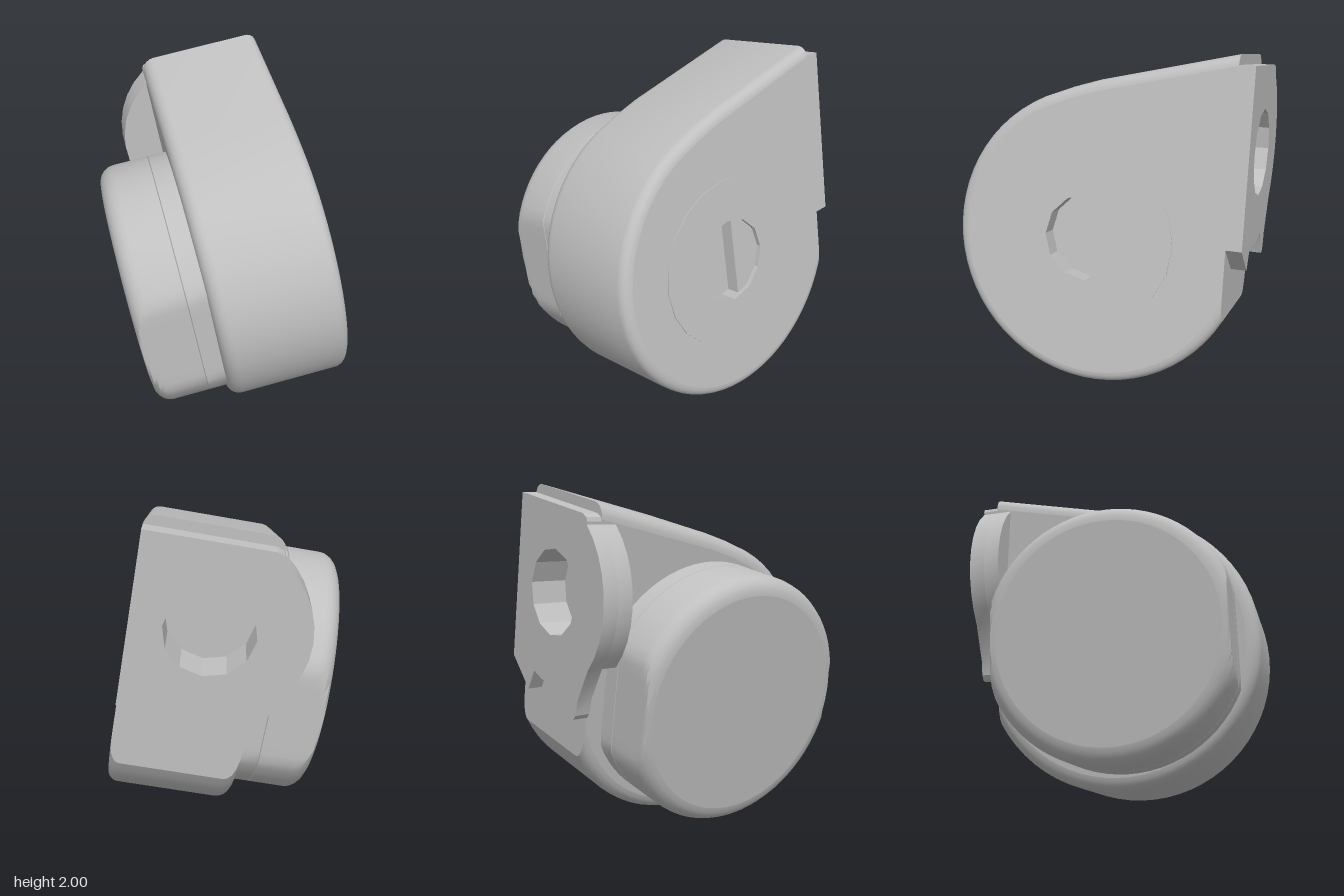
import * as THREE from 'three';
import { toCreasedNormals } from 'three/addons/utils/BufferGeometryUtils.js';

const V2 = (x, y) => new THREE.Vector2(x, y);
const rad = THREE.MathUtils.degToRad;

export function createModel() {
  const grey = new THREE.MeshStandardMaterial({ color: 0xc0c0c0 });
  grey.name = 'grey casting';
  const model = new THREE.Group();
  model.name = 'tiltedHousing';

  const add = (name, geometry, crease = 0.6) => {
    const mesh = new THREE.Mesh(toCreasedNormals(geometry, crease), grey);
    mesh.name = name;
    model.add(mesh);
  };

  // Points along an arc, angles in degrees
  const arc = (cx, cy, r, from, to, n) => Array.from({ length: n + 1 }, (_, i) => {
    const t = rad(from + (to - from) * i / n);
    return V2(cx + r * Math.cos(t), cy + r * Math.sin(t));
  });
  const withHole = (shape, cx, cy, r) => {
    shape.holes.push(new THREE.Path(arc(cx, cy, r, 0, 360, 12)));
    return shape;
  };

  // Skin through cross-sections: rows of (z, y) points, each at its own x
  const loft = (rows) => {
    const pos = [], idx = [], n = rows[0].pts.length;
    rows.forEach(({ x, pts }) => pts.forEach((p) => pos.push(x, p.y, p.x)));
    for (let i = 0; i < rows.length - 1; i++) {
      for (let j = 0; j < n - 1; j++) {
        const a = i * n + j, b = a + n;
        idx.push(a, b, b + 1, a, b + 1, a + 1);
      }
    }
    const g = new THREE.BufferGeometry();
    g.setAttribute('position', new THREE.Float32BufferAttribute(pos, 3));
    g.setIndex(idx);
    return g;
  };
  // Flat face of (z, y) points looking to -x
  const minusXFace = (pts, x) =>
    new THREE.ShapeGeometry(new THREE.Shape(pts)).rotateY(-Math.PI / 2).translate(x, 0, 0);
  const mirrored = (pts) => pts.map((p) => V2(-p.x, p.y));

  // Blind hole, open towards +y
  const cup = (r, depth) =>
    new THREE.LatheGeometry([V2(r, 0), V2(r, -depth), V2(0, -depth)], 12);

  const left = -0.02, right = 0.717, back = -0.75;
  const axisY = 0.838, axisZ = 0.045;
  const eye = { x: 0.29, y: 1.36, r: 0.54, hole: 0.25 };

  // Teardrop outline, shrunk by d, cut square at the back
  const outline = (d) => {
    const r = 0.85 - d, start = -THREE.MathUtils.radToDeg(Math.acos(back / r));
    return [...arc(0, 0.84, r, start, 66, 40),
      V2(0.18, 1.68 - d * 1.05), V2(0.02, 1.73 - d * 1.03), V2(back, 1.912 - d * 1.03)];
  };
  const bodyRows = [];
  for (let i = 0; i <= 5; i++) {
    const t = Math.PI / 2 * i / 5;
    bodyRows.push({ x: left + 0.08 * (1 - Math.cos(t)), pts: outline(0.08 * (1 - Math.sin(t))) });
  }
  for (let i = 0; i <= 5; i++) {
    const t = Math.PI / 2 * i / 5;
    bodyRows.push({ x: right - 0.06 * (1 - Math.sin(t)), pts: outline(0.06 * (1 - Math.cos(t))) });
  }
  add('bodyRim', loft(bodyRows));
  add('bodyLeftFace', minusXFace(bodyRows[0].pts, left));
  const rightShape = new THREE.Shape(mirrored(bodyRows.at(-1).pts));
  add('bodyRightFace', new THREE.ShapeGeometry(withHole(rightShape, -axisZ, axisY, 0.25))
    .rotateY(Math.PI / 2).translate(right, 0, 0));

  // Flat back of the body, joined to the ends of every section
  const ends = (k) => bodyRows.map(({ x, pts }) => V2(-x, pts.at(k).y));
  const backShape = new THREE.Shape([...ends(0), ...ends(-1).reverse()]);
  add('bodyBack', new THREE.ShapeGeometry(withHole(backShape, -eye.x, eye.y, eye.hole))
    .rotateY(Math.PI).translate(0, 0, back));

  // Slightly raised ring and stepped socket on the side
  const ring = withHole(new THREE.Shape(arc(-axisZ, axisY, 0.5, 0, 360, 20)), -axisZ, axisY, 0.25);
  add('sideRing', new THREE.ExtrudeGeometry(ring, { depth: 0.006, bevelEnabled: false })
    .rotateY(Math.PI / 2).translate(right, 0, 0));
  add('sideSocket', cup(0.25, 0.11).rotateZ(-Math.PI / 2).translate(right + 0.006, axisY, axisZ), 0.2);
  const step = new THREE.Shape(arc(-axisZ, axisY, 0.25, -78, 78, 8));
  add('socketStep', new THREE.ExtrudeGeometry(step, { depth: 0.08, bevelEnabled: false })
    .rotateY(Math.PI / 2).translate(right - 0.1, 0, 0));

  // Mounting plate with a round eye and two small teeth
  const plate = new THREE.Shape([
    V2(right, 1.855), V2(0.03, 1.855), V2(-0.01, 1.84), V2(left, 1.82),
    ...arc(eye.x, eye.y, eye.r, 125, 217, 9),
    V2(-0.06, 0.83), V2(-0.05, 0.74), V2(-0.03, 0.71), V2(0.01, 0.71), V2(0.06, 0.8),
    ...arc(eye.x, eye.y, eye.r, 250, 287, 4),
    V2(0.506, 0.71), V2(right, 0.86),
  ]);
  add('mountingPlate', new THREE.ExtrudeGeometry(withHole(plate, eye.x, eye.y, eye.hole),
    { depth: 0.09, bevelEnabled: false }).translate(0, 0, -0.84), 0.3);
  const lobe = new THREE.Shape(arc(eye.x, eye.y, eye.r, 125, 217, 9));
  add('plateLobe', new THREE.ExtrudeGeometry(lobe, { depth: 0.09, bevelEnabled: false })
    .translate(0, 0, back), 0.3);
  add('plateSocket', cup(eye.hole, 0.22).rotateX(-Math.PI / 2).translate(eye.x, eye.y, -0.84), 0.2);

  // Round cap with a flat at the front and back, rounded towards its outer face
  const capSection = (d, flat = 0.68) => arc(0, 0, 0.745 - d, 0, 360, 72).map((p) =>
    V2(0.04 + THREE.MathUtils.clamp(p.x, -flat, flat), 0.832 + p.y));
  const capRows = [];
  for (let i = 0; i <= 5; i++) {
    const t = Math.PI / 2 * i / 5;
    capRows.push({ x: -0.45 + 0.1 * (1 - Math.cos(t)), pts: capSection(0.1 * (1 - Math.sin(t))) });
  }
  capRows.push({ x: -0.136, pts: capSection(0) }, { x: -0.133, pts: capSection(0.006, 0.674) });
  add('cap', loft(capRows), 0.5);
  add('capFace', minusXFace(capRows[0].pts, -0.45));
  add('capCollar', loft([
    { x: -0.133, pts: capSection(0.006, 0.674) },
    { x: -0.13, pts: capSection(0) },
    { x: 0, pts: capSection(0) },
  ]), 0.5);

  // The whole housing leans to its right
  model.rotation.z = rad(10);
  const group = new THREE.Group();
  group.name = 'housing';
  group.add(model);
  return group;
}
